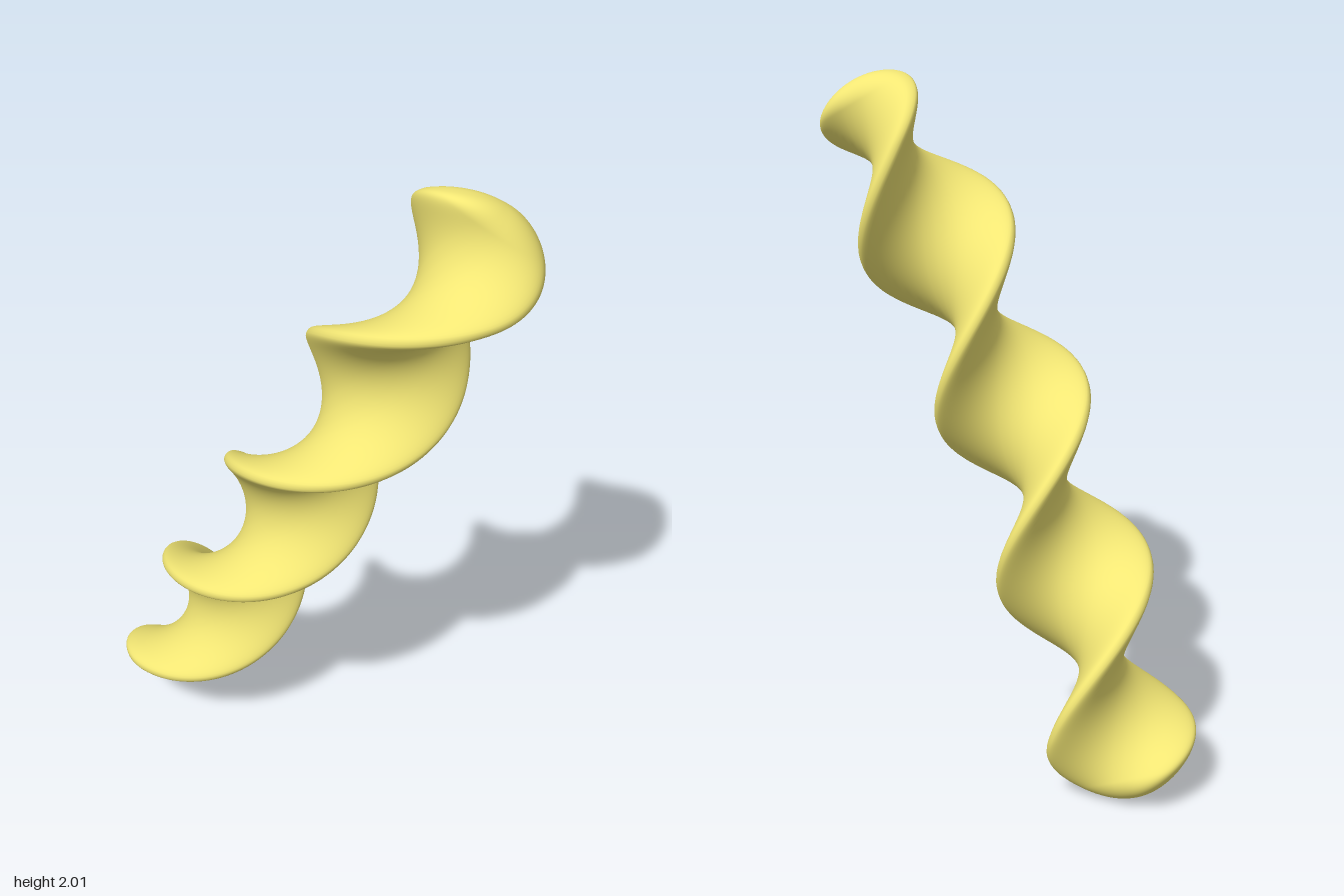
import * as THREE from 'three';

const RINGS = 320, SIDES = 56;
const HALF_WIDTH = 0.231, HALF_THICK = 0.068;
const Y0 = 0.028, Y1 = 1.977, HALF_TURN = 0.467;

// Leaning axis, bowed gently forward in the middle
const axis = (y) => new THREE.Vector3((y - 1) * 0.535, y, 0.055 - 0.145 * (y - 1.1) ** 2);

// Rounded ends: full size in the middle, closing to a point at each tip
function taper(y, length) {
  const d = Math.min(y - Y0, Y1 - y);
  if (d >= length) return 1;
  return Math.sqrt(Math.max(0, 1 - (1 - d / length) ** 2));
}

// Squared-off oval, so the ribbon's rims stay thick and rounded
const soften = (v) => Math.sign(v) * Math.abs(v) ** 0.8;

// Flat section swept along the axis while it twists
function twistGeometry() {
  const positions = [], indices = [];
  for (let i = 0; i <= RINGS; i++) {
    // rings gather toward both ends so the tips stay smooth
    const y = Y0 + (Y1 - Y0) * (0.5 - 0.5 * Math.cos(Math.PI * i / RINGS));
    const centre = axis(y);
    const tangent = axis(y + 0.001).sub(axis(y - 0.001)).normalize();
    const side = new THREE.Vector3(tangent.y, -tangent.x, 0).normalize();
    const front = new THREE.Vector3().crossVectors(side, tangent).normalize();
    const turn = Math.PI / 2 - Math.PI * (y - 0.27) / HALF_TURN;
    const across = side.clone().multiplyScalar(Math.cos(turn)).addScaledVector(front, Math.sin(turn));
    const through = side.clone().multiplyScalar(-Math.sin(turn)).addScaledVector(front, Math.cos(turn));
    const w = HALF_WIDTH * taper(y, 0.19), h = HALF_THICK * taper(y, 0.05);
    for (let j = 0; j < SIDES; j++) {
      const a = (j / SIDES) * Math.PI * 2;
      const p = centre.clone()
        .addScaledVector(across, w * soften(Math.cos(a)))
        .addScaledVector(through, h * soften(Math.sin(a)));
      positions.push(p.x, p.y, p.z);
    }
  }
  for (let i = 0; i < RINGS; i++) {
    for (let j = 0; j < SIDES; j++) {
      const a = i * SIDES + j, b = i * SIDES + (j + 1) % SIDES;
      indices.push(a, a + SIDES, b, b, a + SIDES, b + SIDES);
    }
  }
  const geometry = new THREE.BufferGeometry();
  geometry.setAttribute('position', new THREE.Float32BufferAttribute(positions, 3));
  geometry.setIndex(indices);
  geometry.computeVertexNormals();
  return geometry;
}

export function createModel() {
  const group = new THREE.Group();
  group.name = 'spiralPasta';
  const material = new THREE.MeshStandardMaterial({ color: 0xf2e674 });
  const twist = new THREE.Mesh(twistGeometry(), material);
  twist.name = 'twistedRibbon';
  group.add(twist);
  return group;
}
